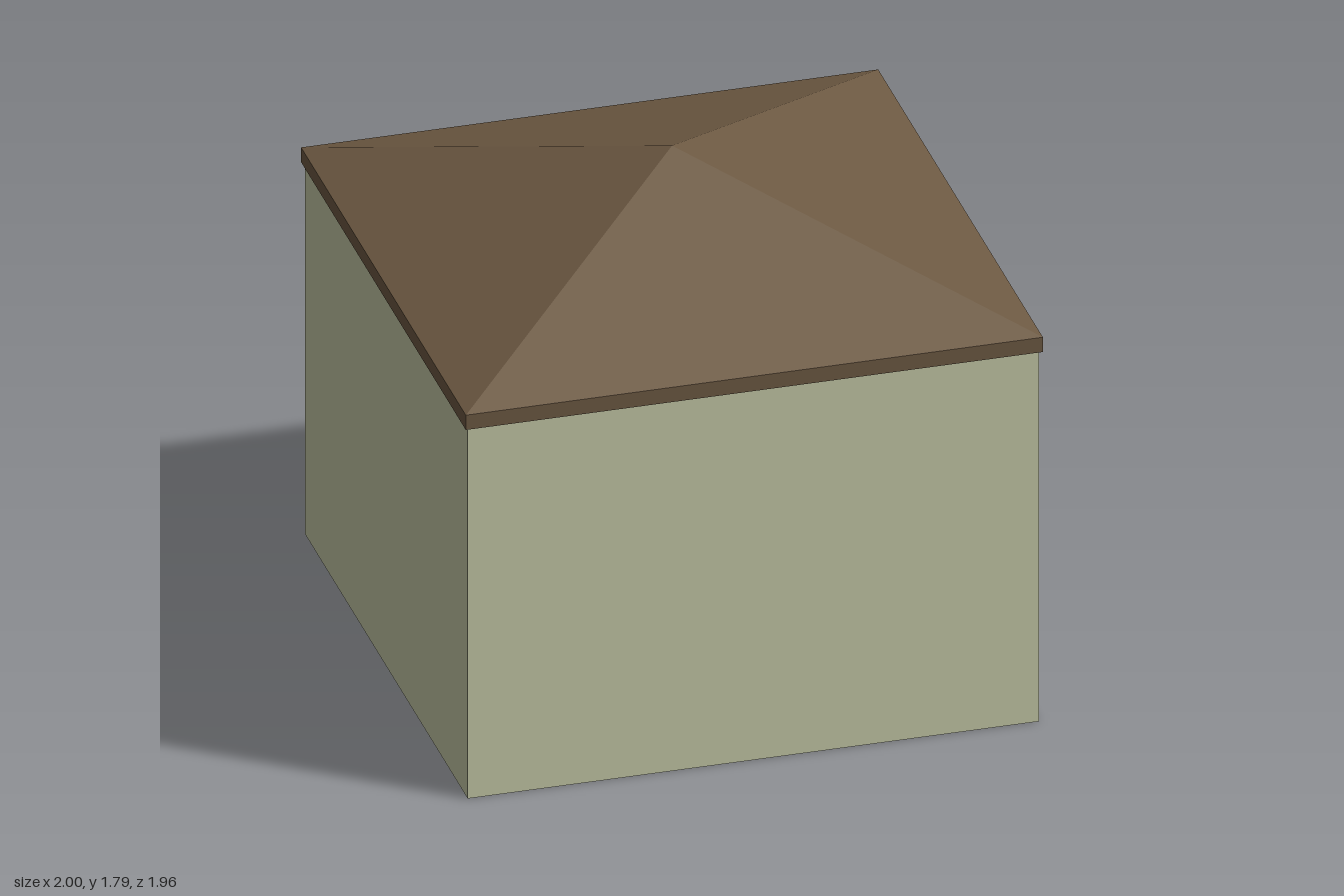
import * as THREE from 'three';

const mat = (color) => new THREE.MeshStandardMaterial({ color, flatShading: true });
const WALL_X = 0.965; // plane of the facade carrying door and windows
const CX = -0.012;

export function createModel() {
  const house = new THREE.Group();
  house.name = 'house';
  const wall = mat(0xc6caa8), roofMat = mat(0x6e5a43), dark = mat(0x3a3a3a);
  const glass = mat(0x8ac6ca), wood = mat(0x9c815a), brass = mat(0xc8a850), stone = mat(0xa9a996);

  const add = (name, geometry, material, parent = house) => {
    const mesh = new THREE.Mesh(geometry, material);
    mesh.name = name;
    parent.add(mesh);
    return mesh;
  };
  // Box given by its limits on each axis
  const box = (name, [x0, x1], [y0, y1], [z0, z1], material, parent) => {
    const mesh = add(name, new THREE.BoxGeometry(x1 - x0, y1 - y0, z1 - z0), material, parent);
    mesh.position.set((x0 + x1) / 2, (y0 + y1) / 2, (z0 + z1) / 2);
    return mesh;
  };

  box('walls', [-0.99, WALL_X], [0, 1.385], [-0.966, 0.966], wall);

  // Hipped roof: eave slab and four-sided pyramid
  box('eaves', [-1, 0.975], [1.38, 1.435], [-0.978, 0.978], roofMat);
  const pyramid = new THREE.ConeGeometry(Math.SQRT2, 0.36, 4, 1, true);
  pyramid.rotateY(Math.PI / 4);
  pyramid.scale(0.9875, 1, 0.978);
  add('roof', pyramid, roofMat).position.set(CX, 1.615, 0);

  // Frame with an opening, extruded outwards from the facade
  const frame = (parent, [z0, z1], [y0, y1], side, top, bottom) => {
    const shape = new THREE.Shape();
    shape.moveTo(-z1, y0).lineTo(-z0, y0).lineTo(-z0, y1).lineTo(-z1, y1).closePath();
    const hole = new THREE.Path();
    hole.moveTo(-z1 + side, y0 + bottom).lineTo(-z1 + side, y1 - top)
      .lineTo(-z0 - side, y1 - top).lineTo(-z0 - side, y0 + bottom).closePath();
    shape.holes.push(hole);
    const geometry = new THREE.ExtrudeGeometry(shape, { depth: 0.012, bevelEnabled: false });
    geometry.rotateY(Math.PI / 2);
    add('frame', geometry, dark, parent).position.x = WALL_X - 0.001;
  };

  const windowUnit = (name, z, y, side, rail) => {
    const group = new THREE.Group();
    group.name = name;
    house.add(group);
    frame(group, z, y, side, rail, rail);
    box('glass', [WALL_X - 0.005, WALL_X + 0.004], [y[0] + rail, y[1] - rail],
      [z[0] + side, z[1] - side], glass, group);
  };
  windowUnit('upperWindowFront', [0.312, 0.815], [0.825, 1.257], 0.038, 0.012);
  windowUnit('upperWindowBack', [-0.833, -0.33], [0.825, 1.257], 0.038, 0.012);
  windowUnit('lowerWindowFront', [0.62, 0.815], [0.12, 0.555], 0.016, 0.014);
  windowUnit('lowerWindowBack', [-0.833, -0.638], [0.12, 0.555], 0.016, 0.014);

  // Stone panel around the entrance
  box('entrancePanel', [WALL_X - 0.005, WALL_X + 0.002], [0.022, 0.638], [-0.468, 0.47], stone);

  // Door with frame and lever handle
  const door = new THREE.Group();
  door.name = 'door';
  house.add(door);
  frame(door, [-0.15, 0.145], [0, 0.465], 0.015, 0.017, 0.001);
  box('doorLeaf', [WALL_X - 0.005, WALL_X + 0.005], [0, 0.448], [-0.135, 0.13], wood, door);
  const stem = add('handleStem', new THREE.CylinderGeometry(0.006, 0.006, 0.03, 12), brass, door);
  stem.rotation.z = Math.PI / 2;
  stem.position.set(0.983, 0.22, -0.112);
  box('handleLever', [0.992, 1], [0.213, 0.227], [-0.12, -0.05], brass, door);

  return house;
}
